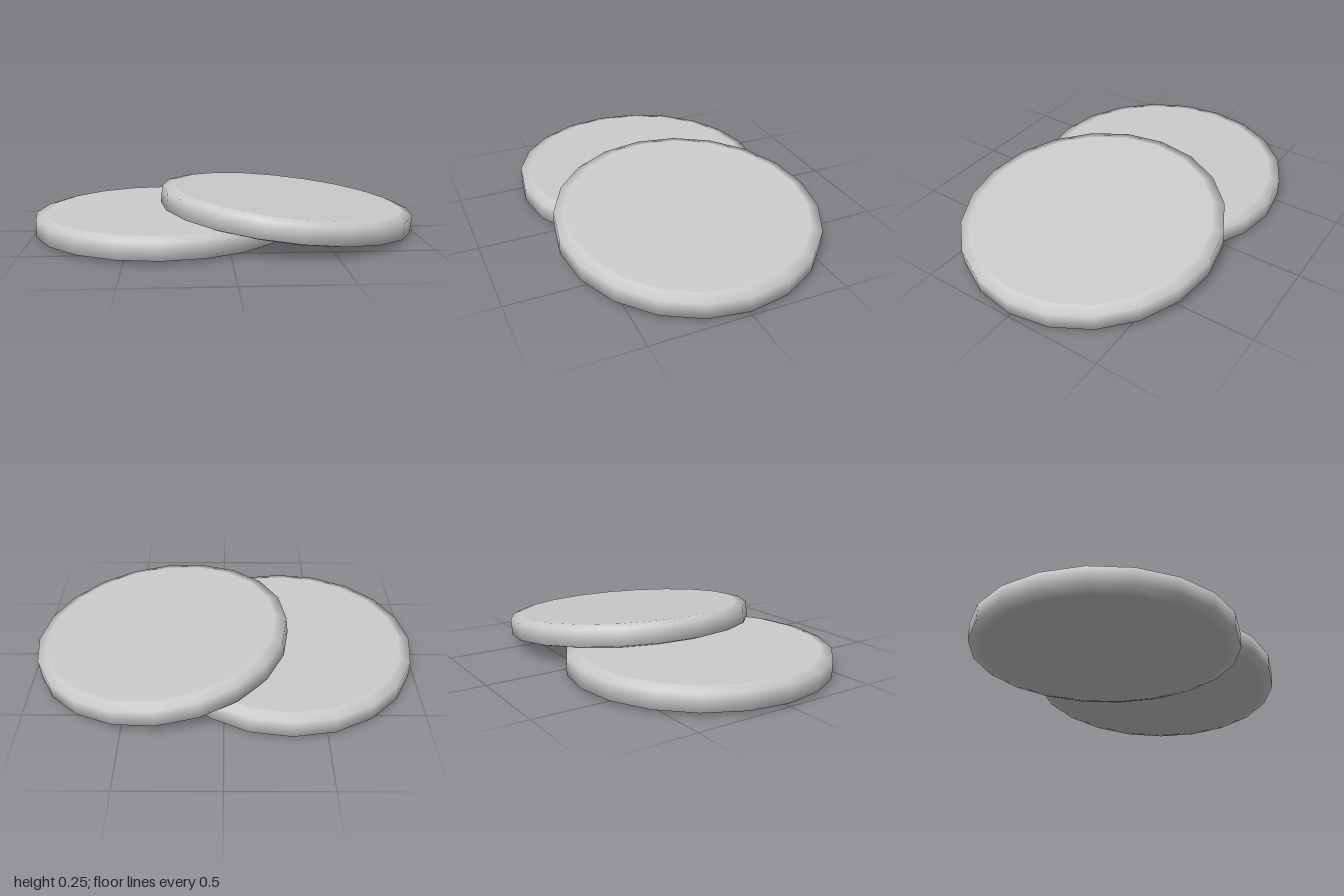
import * as THREE from 'three';

const RADIUS = 0.67, FLAT = 0.615, HALF = 0.06, RIM = 0.044, SIDES = 20;

// Disc profile from bottom centre to top centre; doubled points keep the flat faces crisp
function discGeometry() {
  const profile = [
    [0, -HALF], [FLAT, -HALF], [FLAT, -HALF],
    [RADIUS, -RIM], [RADIUS, RIM],
    [FLAT, HALF], [FLAT, HALF], [0, HALF],
  ].map(([r, y]) => new THREE.Vector2(r, y));
  return new THREE.LatheGeometry(profile, SIDES);
}

export function createModel() {
  const group = new THREE.Group();
  group.name = 'overlappingDiscs';
  const geometry = discGeometry();
  const material = new THREE.MeshStandardMaterial({ color: 0xcccccc });

  const addDisc = (name, x, y, tilt) => {
    const disc = new THREE.Mesh(geometry, material);
    disc.name = name;
    disc.position.set(x, y, 0);
    disc.rotation.z = THREE.MathUtils.degToRad(tilt);
    group.add(disc);
  };

  // One disc lies flat, the other leans on it
  addDisc('flatDisc', -0.33, 0.062, 0);
  addDisc('leaningDisc', 0.33, 0.129, -6.1);
  return group;
}
